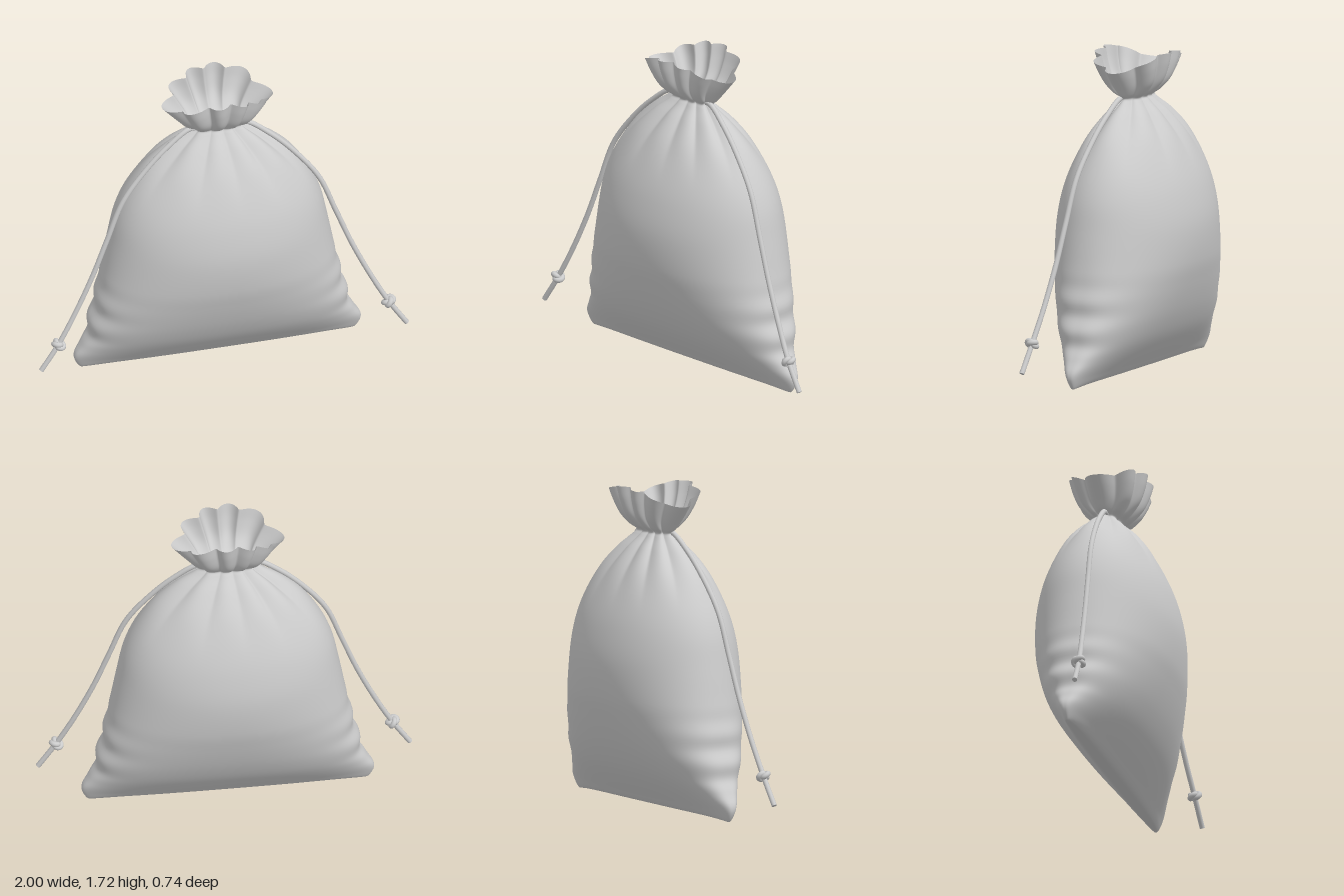
import * as THREE from 'three';

const material = new THREE.MeshStandardMaterial({ color: 0xcccccc, roughness: 0.8 });
const cloth = material.clone();
cloth.side = THREE.DoubleSide;

const NECK = 1.465;
const { smoothstep, clamp, lerp } = THREE.MathUtils;

// Cross-sections from the bottom seam to the rim: half width, height, half depth
const sections = [
  [0.71, 0.012, 0], [0.722, 0.014, 0.035], [0.73, 0.065, 0.085], [0.722, 0.15, 0.158],
  [0.71, 0.22, 0.208], [0.692, 0.3, 0.252], [0.673, 0.38, 0.287], [0.65, 0.49, 0.325],
  [0.627, 0.61, 0.356], [0.592, 0.8, 0.37], [0.555, 0.97, 0.345], [0.495, 1.11, 0.3],
  [0.39, 1.26, 0.225], [0.26, 1.38, 0.135], [0.165, 1.445, 0.07],
  [0.145, NECK, 0.056], [0.167, 1.5, 0.1], [0.197, 1.56, 0.15],
  [0.238, 1.64, 0.18], [0.276, 1.715, 0.195],
].map((s) => new THREE.Vector3(...s));

const signedPow = (v, e) => Math.sign(v) * Math.pow(Math.abs(v), e);

// Round petals with narrow valleys, broad at the two sides
function pleat(t) {
  const phase = 10 * t - 2 * Math.sin(2 * t) + 1.8 * Math.sin(t) ** 2;
  return 1.6 * Math.sqrt(Math.cos(phase / 2) ** 2 + 0.015) - 1;
}

// Puffed lower corners and the small creases above them
function sidePuff(y) {
  const crease = smoothstep(y, 0.12, 0.22) * (1 - smoothstep(y, 0.35, 0.65));
  return 0.05 * Math.exp(-(((y - 0.075) / 0.075) ** 2)) + 0.01 * crease * Math.cos(39 * (y - 0.3));
}

// Cloth sack: superelliptic rings, gathered into pleats around the neck
function makeSack() {
  const rows = new THREE.CatmullRomCurve3(sections).getPoints((sections.length - 1) * 6);
  const around = 240;
  const positions = [];
  const indices = [];
  rows.forEach((row, i) => {
    const y = Math.max(row.y, 0);
    const power = lerp(2.8, 2.05, smoothstep(y, 0, 0.8));
    const gather = smoothstep(y, 1.0, NECK) ** 2;
    const flare = clamp((y - NECK) / 0.25, 0, 1);
    const amplitude = 0.12 * gather + 0.03 * flare;
    for (let j = 0; j < around; j++) {
      const t = (j / around) * Math.PI * 2;
      const c = Math.cos(t), s = Math.sin(t);
      const k = 1 + amplitude * pleat(t);
      // The rim is lower at the two sides, the bottom corners sag a little
      const drop = flare * 0.09 * c * c + 0.012 * c ** 6 * (1 - smoothstep(y, 0, 0.1));
      positions.push(
        row.x * k * signedPow(c, 2 / power) + sidePuff(y) * signedPow(c, 4),
        y - drop,
        Math.max(row.z, 0) * k * signedPow(s, 2 / power)
      );
      if (i < rows.length - 1) {
        const p = i * around + j, q = i * around + (j + 1) % around;
        indices.push(p, p + around, q, q, p + around, q + around);
      }
    }
  });
  const geometry = new THREE.BufferGeometry();
  geometry.setAttribute('position', new THREE.Float32BufferAttribute(positions, 3));
  geometry.setIndex(indices);
  geometry.computeVertexNormals();
  const mesh = new THREE.Mesh(geometry, cloth);
  mesh.name = 'sack';
  return mesh;
}

// Drawstring: a hanging cord with a knot near its end
function makeDrawstring(side, depth) {
  const group = new THREE.Group();
  group.name = side > 0 ? 'leftDrawstring' : 'rightDrawstring';
  const path = new THREE.CatmullRomCurve3([
    [0.08, 1.46, 0.01], [0.15, 1.472, 0.02], [0.275, 1.388, 0.042], [0.4, 1.265, 0.064],
    [0.53, 1.09, 0.088], [0.62, 0.86, 0.106], [0.7, 0.65, 0.122],
    [0.8, 0.43, 0.143], [0.893, 0.255, 0.163], [0.988, 0.107, 0.175],
  ].map(([x, y, z]) => new THREE.Vector3(x * side, y, z * depth)));
  const cord = new THREE.Mesh(new THREE.TubeGeometry(path, 72, 0.014, 10), material);
  cord.name = 'cord';
  group.add(cord);

  // Flat cap on the loose end
  const end = new THREE.Mesh(new THREE.CircleGeometry(0.014, 10), material);
  end.name = 'cordEnd';
  end.position.copy(path.getPoint(1));
  end.quaternion.setFromUnitVectors(new THREE.Vector3(0, 0, 1), path.getTangent(1));
  group.add(end);

  const knot = new THREE.Mesh(new THREE.TorusKnotGeometry(0.019, 0.0145, 72, 10, 2, 3), material);
  knot.name = 'knot';
  knot.position.set(0.893 * side, 0.255, 0.163 * depth);
  knot.quaternion.setFromUnitVectors(new THREE.Vector3(0, 0, 1), path.getTangent(8 / 9));
  group.add(knot);
  return group;
}

export function createModel() {
  const model = new THREE.Group();
  model.name = 'drawstringBag';
  model.add(makeSack(), makeDrawstring(1, 1), makeDrawstring(-1, 0.73));
  return model;
}
